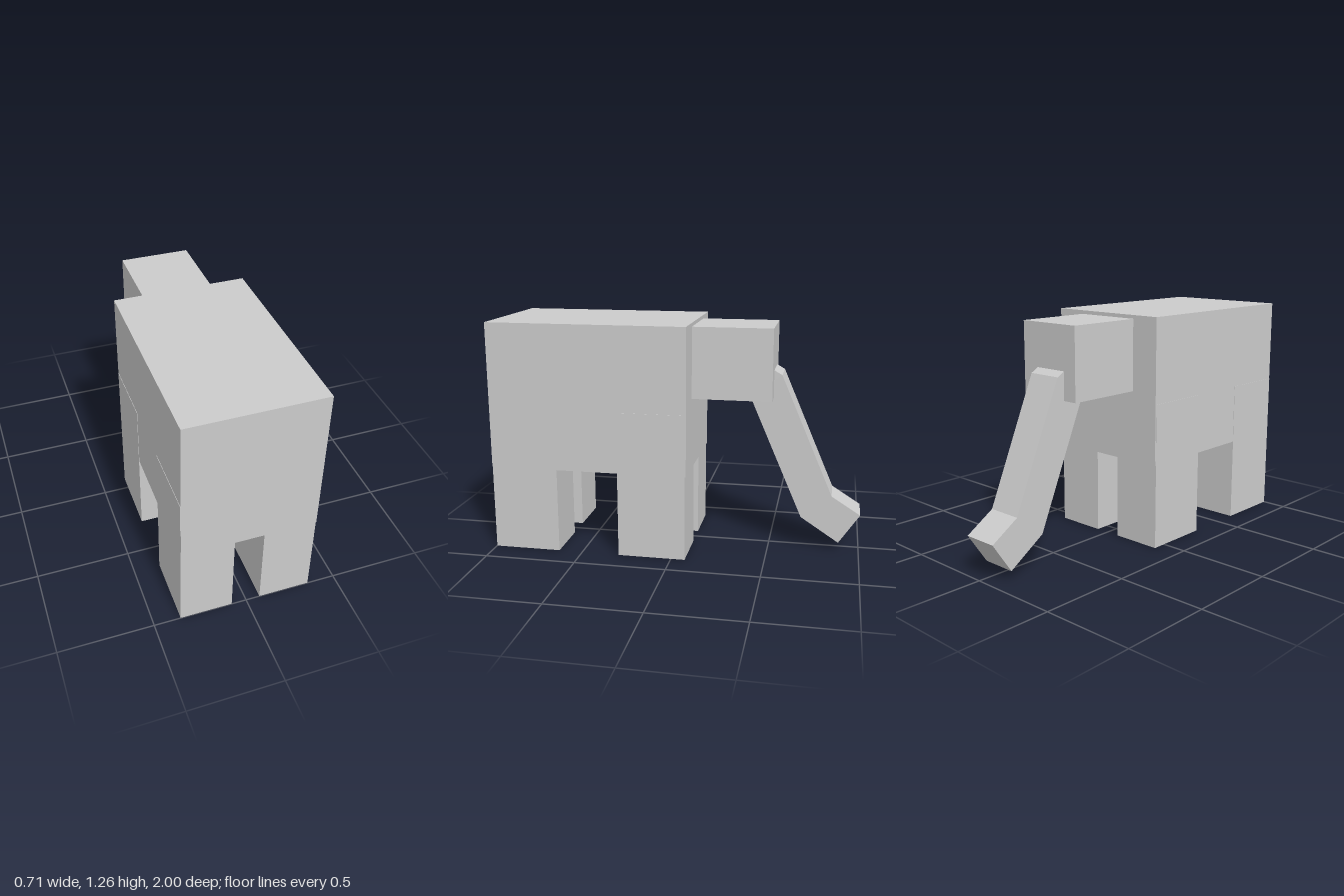
import * as THREE from 'three';

const material = new THREE.MeshStandardMaterial({ color: 0xcccccc, flatShading: true });

// Box given by its extents on each axis
function block(name, [x0, x1], [y0, y1], [z0, z1]) {
  const mesh = new THREE.Mesh(new THREE.BoxGeometry(x1 - x0, y1 - y0, z1 - z0), material);
  mesh.position.set((x0 + x1) / 2, (y0 + y1) / 2, (z0 + z1) / 2);
  mesh.name = name;
  return mesh;
}

export function createModel() {
  const model = new THREE.Group();
  model.name = 'elephant';

  // Body and head
  model.add(block('body', [-0.357, 0.353], [0.466, 1.26], [-0.082, 1]));
  model.add(block('head', [-0.197, 0.18], [0.853, 1.24], [-0.512, -0.08]));

  // Four legs; three of them run up inside the body
  const sides = { Left: [0.075, 0.355], Right: [-0.359, -0.08] };
  const ends = { front: [0.632, 0.999], back: [-0.076, 0.292] };
  for (const [side, xs] of Object.entries(sides)) {
    for (const [end, zs] of Object.entries(ends)) {
      const short = side === 'Left' && end === 'front';
      const x = short ? [0.075, 0.351] : xs;
      model.add(block(`${end}${side}Leg`, x, [0, short ? 0.468 : 0.8], zs));
    }
  }

  // Bent trunk: side profile (distance backwards, height) extruded across x
  const profile = [
    [0.30, 0.90], [0.393, 0.842], [0.678, 0.187], [0.888, 0.05],
    [1, 0.217], [0.842, 0.317], [0.555, 0.98], [0.40, 1.07],
  ].map(([u, v]) => new THREE.Vector2(u, v));
  const trunkGeometry = new THREE.ExtrudeGeometry(new THREE.Shape(profile), {
    depth: 0.195,
    bevelEnabled: false,
  });
  trunkGeometry.rotateY(Math.PI / 2);
  const trunk = new THREE.Mesh(trunkGeometry, material);
  trunk.position.x = -0.116;
  trunk.name = 'trunk';
  model.add(trunk);

  return model;
}
